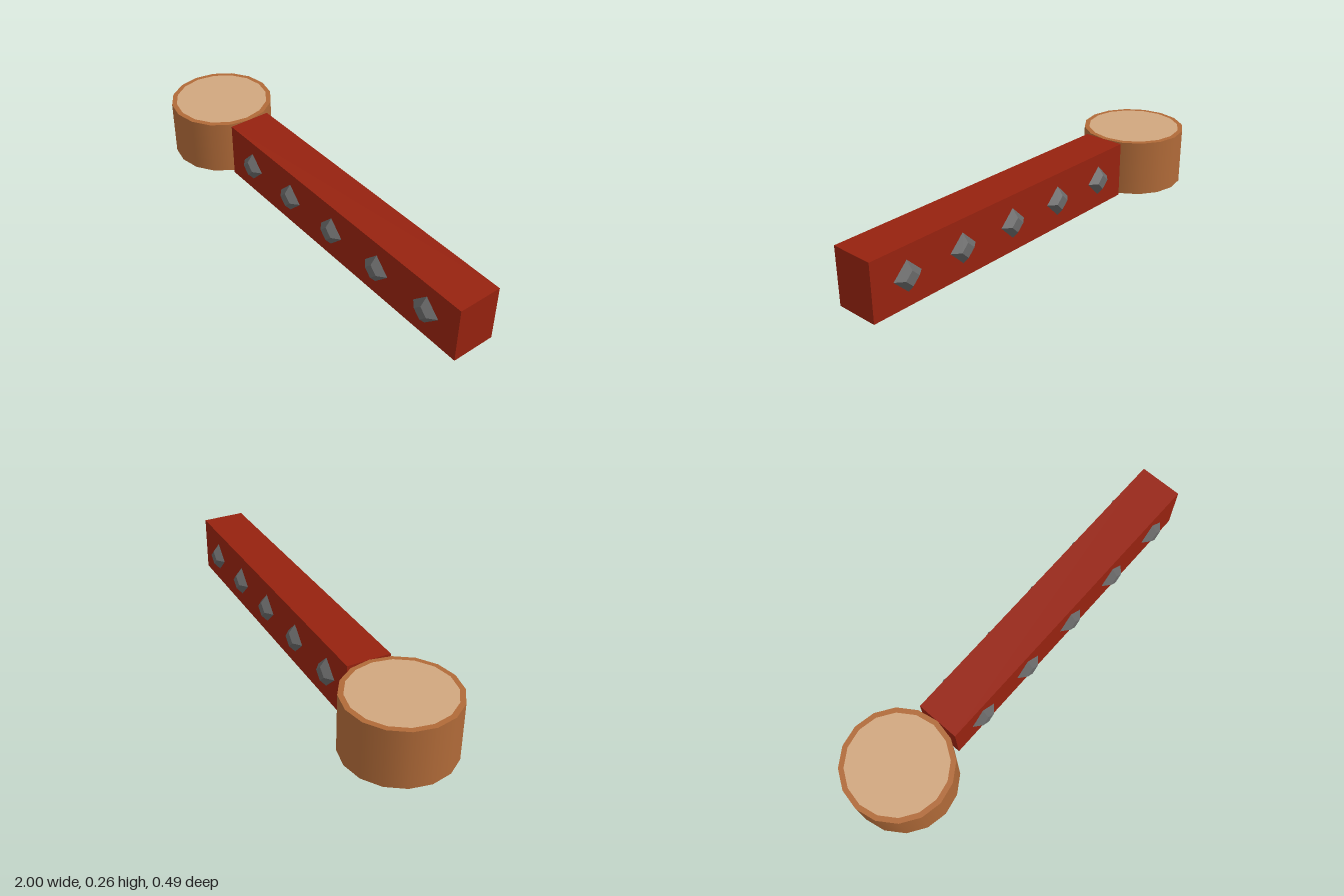
import * as THREE from 'three';

export function createModel() {
  const group = new THREE.Group();
  const mat = (name, color, extra = {}) =>
    Object.assign(new THREE.MeshStandardMaterial({ color, ...extra }), { name });
  const bark = mat('bark brown', 0xb06a38, { side: THREE.DoubleSide });
  const wood = mat('pale wood', 0xd0a67e);
  const red = mat('dark red', 0x96220f);
  const steel = mat('steel grey', 0x686868, { flatShading: true });

  const add = (name, geometry, material, x, y, z) => {
    const mesh = new THREE.Mesh(geometry, material);
    mesh.name = name;
    mesh.position.set(x, y, z);
    group.add(mesh);
    return mesh;
  };

  const H = 0.263, R = 0.243, SIDES = 16, postX = -0.757;

  // Round post: open underneath, closed by a top with a pale inset disc
  add('postWall', new THREE.CylinderGeometry(R, R, H, SIDES, 1, true), bark, postX, H / 2, 0);
  const disc = (r) => new THREE.CircleGeometry(r, SIDES).rotateX(-Math.PI / 2);
  add('postTop', disc(R), bark, postX, H, 0);
  add('postTopInset', disc(0.22), wood, postX, H + 0.001, 0);

  // Long beam
  const x0 = -0.515, x1 = 1;
  add('beam', new THREE.BoxGeometry(x1 - x0, H, 0.2), red, (x0 + x1) / 2, H / 2, 0);

  // Diamond studs along both long faces
  const studGeo = new THREE.CylinderGeometry(0.034, 0.07, 0.03, 4).rotateX(Math.PI / 2);
  for (let i = 0; i < 5; i++) {
    const x = -0.345 + i * 0.2925;
    add('frontStud', studGeo, steel, x, 0.133, 0.115);
    add('backStud', studGeo, steel, x, 0.133, -0.115).rotation.y = Math.PI;
  }
  return group;
}
